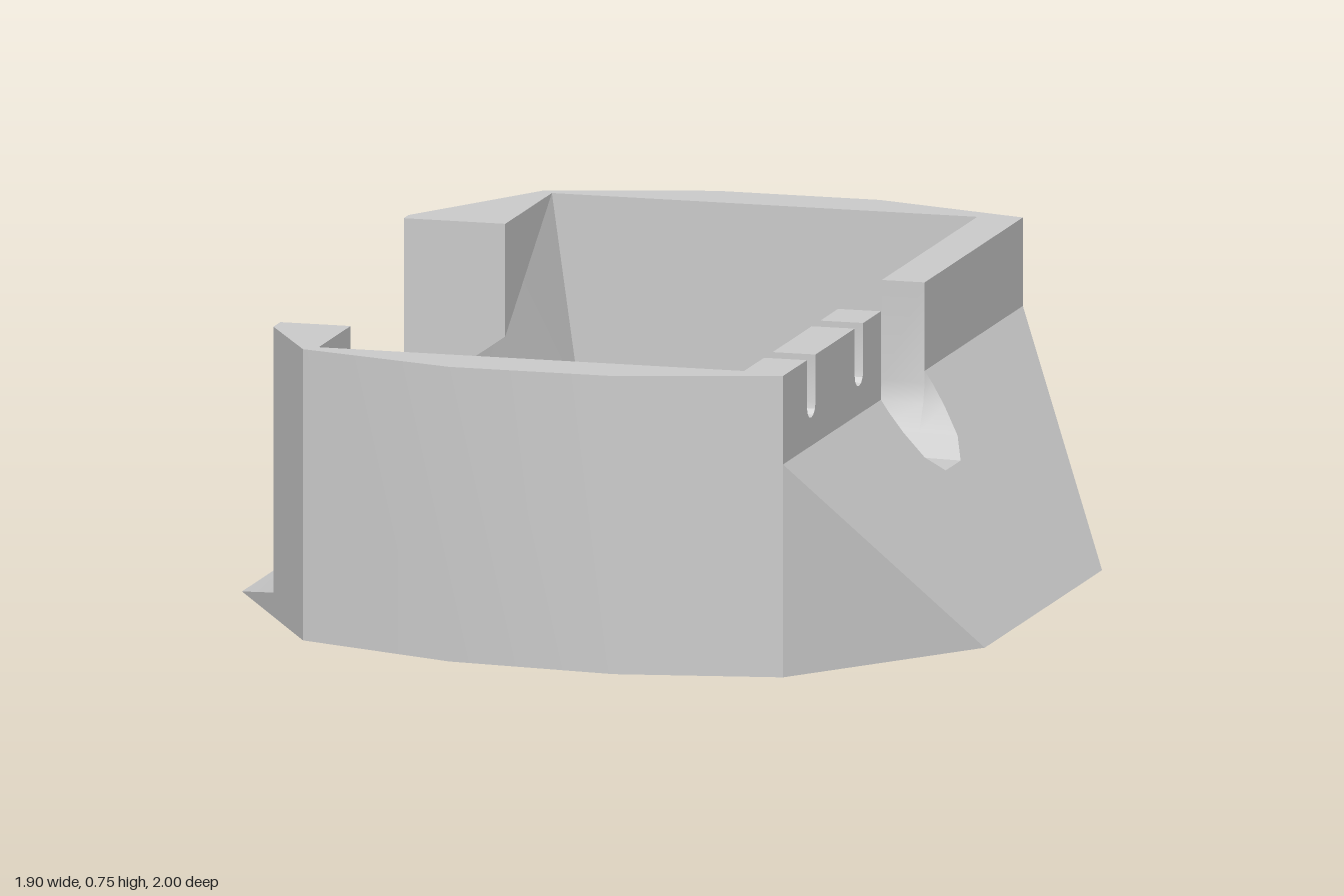
import * as THREE from 'three';
import { toCreasedNormals } from 'three/addons/utils/BufferGeometryUtils.js';

const CREASE = 0.5;
const FLOOR = 0.095;
const topAt = (x) => 0.738 + 0.0205 * x; // the rim tilts slightly

const material = new THREE.MeshStandardMaterial({ color: 0xcccccc });
const thin = new THREE.MeshStandardMaterial({ color: 0xcccccc, side: THREE.DoubleSide });

function moveVertices(geometry, rule) {
  const p = geometry.attributes.position;
  const v = new THREE.Vector3();
  for (let i = 0; i < p.count; i++) {
    rule(v.fromBufferAttribute(p, i));
    p.setXYZ(i, v.x, v.y, v.z);
  }
}

const tiltRim = (v) => { if (v.y > 0.7) v.y = topAt(v.x); };

function solid(name, geometry) {
  const mesh = new THREE.Mesh(toCreasedNormals(geometry, CREASE), material);
  mesh.name = name;
  return mesh;
}

// Plan outline in (x, z), raised along y
function raise(plan, height) {
  const shape = new THREE.Shape(plan.map(([x, z]) => new THREE.Vector2(x, -z)));
  const g = new THREE.ExtrudeGeometry(shape, { depth: height, bevelEnabled: false });
  return g.rotateX(-Math.PI / 2);
}

// Side outline in (z, y), extruded along +x
function extrudeX(outline, depth) {
  const shape = new THREE.Shape(outline.map(([z, y]) => new THREE.Vector2(-z, y)));
  const g = new THREE.ExtrudeGeometry(shape, { depth, bevelEnabled: false });
  return g.rotateY(Math.PI / 2);
}

// Open surface from a list of triangles
function surface(name, triangles) {
  const g = new THREE.BufferGeometry();
  g.setAttribute('position', new THREE.Float32BufferAttribute(triangles.flat(2), 3));
  const mesh = new THREE.Mesh(toCreasedNormals(g, CREASE), thin);
  mesh.name = name;
  return mesh;
}

const quad = (a, b, c, d) => [[a, b, c], [a, c, d]];

// Round-bottomed cable slot, listed from +z to -z
const slotBottom = [
  [0.165, 0.5], [0.155, 0.45], [0.125, 0.385], [0.057, 0.34],
  [-0.055, 0.34], [-0.122, 0.385], [-0.152, 0.45], [-0.163, 0.5],
];

// Small round-bottomed notch in the rim, listed from +z to -z
function notch(z) {
  const r = 0.032, pts = [[z + r, 0.75]];
  for (let i = 0; i <= 6; i++) {
    const a = (i / 6) * Math.PI;
    pts.push([z + r * Math.cos(a), 0.632 - r * Math.sin(a)]);
  }
  pts.push([z - r, 0.75]);
  return pts;
}

export function createModel() {
  const model = new THREE.Group();
  model.name = 'tray';

  // Curved side walls with the end pillars beside the opening
  const frontPlan = [
    [-0.64, 0.9], [-0.23, 1], [0.19, 1], [0.59, 0.9], [0.59, 0.87],
    [-0.61, 0.87], [-0.61, 0.63], [-0.79, 0.63], [-0.79, 0.682],
  ];
  const backPlan = [
    [-0.64, -0.9], [-0.23, -1], [0.19, -1], [0.59, -0.9], [0.59, -0.88],
    [-0.61, -0.88], [-0.61, -0.53], [-0.87, -0.53], [-0.87, -0.566],
  ];
  for (const [name, plan] of [['frontWall', frontPlan], ['backWall', backPlan]]) {
    const g = raise(plan, 0.75);
    moveVertices(g, tiltRim);
    model.add(solid(name, g));
  }

  // Notched end wall with the cable slot
  const endWall = extrudeX([
    [0.87, 0], [0.87, 0.75], ...notch(0.688), ...notch(0.33),
    [0.165, 0.75], ...slotBottom, [-0.163, 0.75], [-0.88, 0.75], [-0.88, 0],
  ], 0.11);
  endWall.translate(0.48, 0, 0);
  moveVertices(endWall, tiltRim);
  model.add(solid('notchedWall', endWall));

  // Sloping wedge outside the end wall, narrowing towards its foot
  const wedge = extrudeX([
    [0.9, 0], [0.9, 0.53], [0.165, 0.53], ...slotBottom,
    [-0.163, 0.53], [-0.9, 0.53], [-0.9, 0],
  ], 1);
  moveVertices(wedge, (v) => {
    if (v.x > 0.5 && v.y < 0.01) v.z = Math.sign(v.z) * 0.44;
    v.x = 0.59 + v.x * 0.36 * (0.53 - v.y) / 0.53;
  });
  model.add(solid('slopedWedge', wedge));

  // Underside
  const half = [[-0.95, 0.45], [-0.64, 0.9], [-0.23, 1], [0.19, 1], [0.59, 0.9], [0.95, 0.44]];
  const footprint = [...half, ...half.map(([x, z]) => [x, -z]).reverse()];
  const under = new THREE.Mesh(
    new THREE.ShapeGeometry(new THREE.Shape(footprint.map(([x, z]) => new THREE.Vector2(x, z)))),
    thin,
  );
  under.geometry.rotateX(Math.PI / 2);
  under.name = 'underside';
  model.add(under);

  // Cavity floor
  model.add(surface('floor', quad(
    [-0.52, FLOOR, -0.88], [-0.52, FLOOR, 0.87], [0.48, FLOOR, 0.87], [0.48, FLOOR, -0.88],
  )));

  // Sill across the opening: leaning inside, upright outside
  const cBack = [-0.61, 0.445, -0.53], cFront = [-0.61, 0.445, 0.63];
  const dBack = [-0.52, FLOOR, -0.88], dFront = [-0.52, FLOOR, 0.87];
  model.add(surface('sillInside', [
    ...quad(cBack, cFront, dFront, dBack),
    [[-0.61, topAt(-0.61), -0.88], cBack, dBack],
    [cFront, [-0.61, topAt(-0.61), 0.87], dFront],
  ]));
  model.add(surface('sillOutside', quad(
    [-0.61, 0.03, -0.53], [-0.61, 0.03, 0.63], cFront, cBack,
  )));

  // Low ledge outside the sill, dropping to the ground at its edge
  const back = [[-0.95, 0, -0.45], [-0.87, 0.058, -0.566], [-0.87, 0.06, -0.53], [-0.61, 0.07, -0.53]];
  const front = [[-0.95, 0, 0.45], [-0.79, 0.06, 0.682], [-0.79, 0.065, 0.63], [-0.61, 0.07, 0.63]];
  const ledge = [];
  for (let i = 0; i < 3; i++) ledge.push(...quad(back[i], front[i], front[i + 1], back[i + 1]));
  ledge.push([back[0], back[1], [-0.87, 0, -0.566]], [front[0], [-0.79, 0, 0.682], front[1]]);
  model.add(surface('ledge', ledge));

  return model;
}
